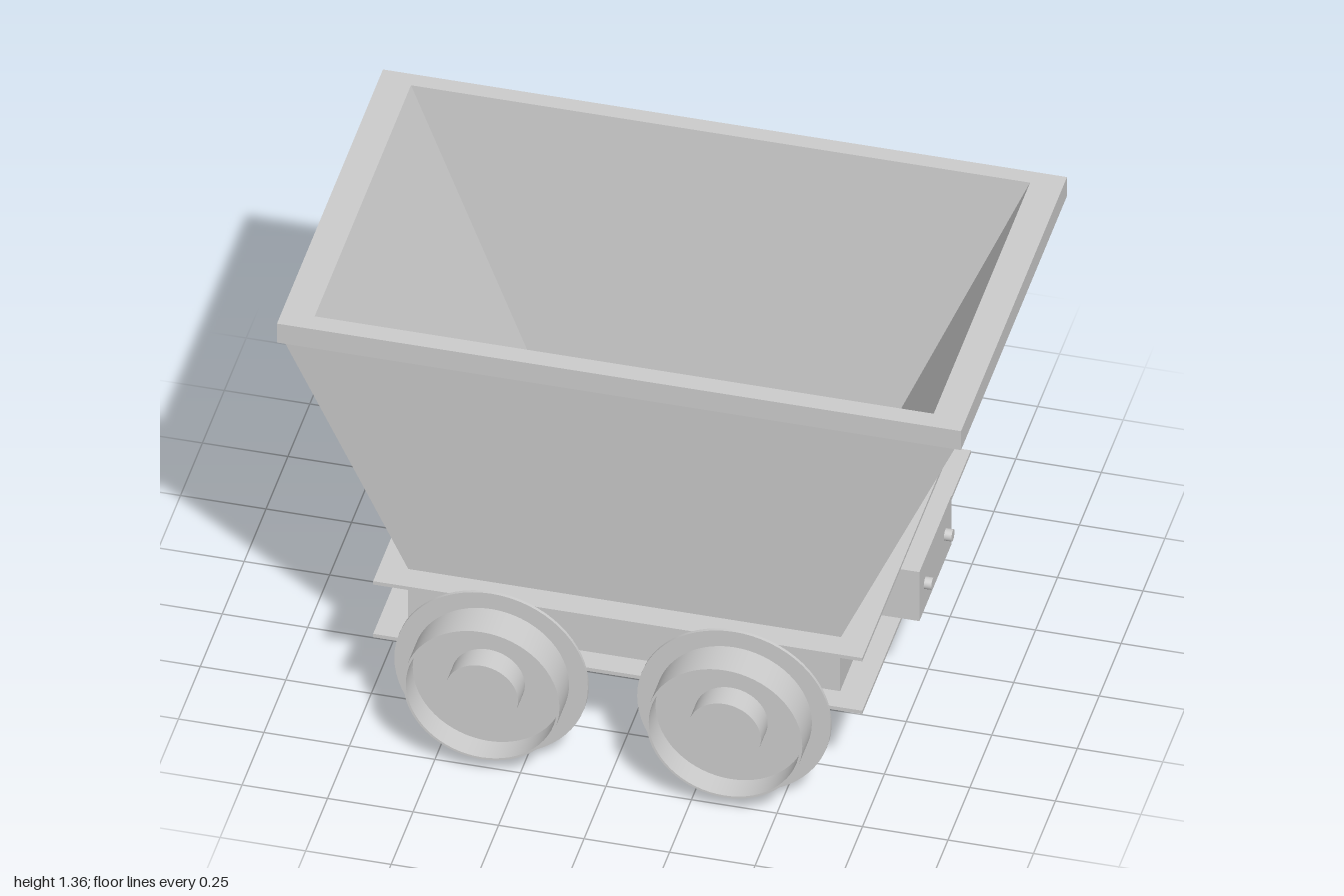
import * as THREE from 'three';

const grey = () => new THREE.MeshStandardMaterial({ color: 0xcccccc });

function add(parent, name, geometry, x = 0, y = 0, z = 0) {
  const mesh = new THREE.Mesh(geometry, grey());
  mesh.name = name;
  mesh.position.set(x, y, z);
  parent.add(mesh);
  return mesh;
}

// Box given by its full width and depth and its lower and upper heights
function slab(parent, name, w, d, y0, y1, x = 0) {
  return add(parent, name, new THREE.BoxGeometry(w, y1 - y0, d), x, (y0 + y1) / 2, 0);
}

// Closed solid through rectangular rings [halfX, y, halfZ, centreZ]
function loftRings(rings) {
  const pos = [];
  const corner = ([hx, y, hz, cz], i) => {
    const [sx, sz] = [[1, 1], [1, -1], [-1, -1], [-1, 1]][i % 4];
    return [sx * hx, y, sz * hz + cz];
  };
  const quad = (a, b, c, d) => pos.push(...a, ...b, ...c, ...a, ...c, ...d);
  for (let r = 0; r < rings.length - 1; r++) {
    for (let i = 0; i < 4; i++) {
      quad(corner(rings[r], i), corner(rings[r], i + 1), corner(rings[r + 1], i + 1), corner(rings[r + 1], i));
    }
  }
  const first = rings[0], last = rings[rings.length - 1];
  quad(...[3, 2, 1, 0].map(i => corner(first, i)));
  quad(...[0, 1, 2, 3].map(i => corner(last, i)));
  const g = new THREE.BufferGeometry();
  g.setAttribute('position', new THREE.Float32BufferAttribute(pos, 3));
  g.computeVertexNormals();
  return g;
}

// Lathe with sharp edges: each profile segment is turned on its own
function turnedWheel(name) {
  const wheel = new THREE.Group();
  wheel.name = name;
  const profile = [[0, 0.665], [0.283, 0.665], [0.283, 0.675], [0.228, 0.675], [0.228, 0.785],
    [0.221, 0.785], [0.221, 0.707], [0.107, 0.707], [0.107, 0.785], [0, 0.785]];
  for (let i = 0; i < profile.length - 1; i++) {
    const pts = [profile[i], profile[i + 1]].map(p => new THREE.Vector2(...p));
    add(wheel, 'wheelSurface', new THREE.LatheGeometry(pts, 64)).rotation.x = Math.PI / 2;
  }
  return wheel;
}

// End block with two bolt holes running along x
function drilledBlock() {
  const s = new THREE.Shape();
  s.moveTo(-0.182, -0.088).lineTo(0.182, -0.088).lineTo(0.182, 0.088).lineTo(-0.182, 0.088).closePath();
  for (const z of [-0.115, 0.115]) {
    s.holes.push(new THREE.Path().absarc(z, 0, 0.018, 0, Math.PI * 2, true));
  }
  const g = new THREE.ExtrudeGeometry(s, { depth: 0.145, bevelEnabled: false, curveSegments: 24 });
  return g.rotateY(-Math.PI / 2);
}

export function createModel() {
  const model = new THREE.Group();
  model.name = 'mineCart';

  // Tapered hopper with its rim, hollow down to the floor
  add(model, 'hopper', loftRings([
    [0.522, 0.247, 0.524, -0.004],
    [0.982, 1.287, 0.594, -0.004],
    [1.0, 1.287, 0.605, -0.004],
    [1.0, 1.355, 0.605, -0.004],
    [0.905, 1.355, 0.55, -0.008],
    [0.538, 0.51, 0.475, -0.008],
  ]));

  // Chassis: web between two flange plates
  const chassis = new THREE.Group();
  chassis.name = 'chassis';
  chassis.position.z = -0.004;
  model.add(chassis);
  slab(chassis, 'web', 1.264, 1.096, 0.305, 0.49);
  slab(chassis, 'upperFlange', 1.43, 1.24, 0.485, 0.497);
  slab(chassis, 'lowerFlange', 1.43, 1.24, 0.296, 0.308);

  // Coupling blocks: bolts at one end, open holes at the other
  slab(chassis, 'couplingBlockLeft', 0.145, 0.364, 0.31, 0.486, 0.6975);
  add(chassis, 'couplingBlockRight', drilledBlock(), -0.63, 0.398, 0);
  for (const z of [-0.115, 0.115]) {
    const bolt = new THREE.CylinderGeometry(0.018, 0.018, 0.05, 24).rotateZ(Math.PI / 2);
    add(chassis, 'bolt', bolt, 0.767, 0.398, z);
  }

  // Axles, each with a flanged wheel at both ends
  for (const x of [-0.355, 0.355]) {
    const set = new THREE.Group();
    set.name = 'wheelSet';
    set.position.set(x, 0.283, 0);
    model.add(set);
    add(set, 'axle', new THREE.CylinderGeometry(0.107, 0.107, 1.34, 48).rotateX(Math.PI / 2));
    const front = turnedWheel('frontWheel');
    const back = turnedWheel('backWheel');
    back.rotation.y = Math.PI;
    set.add(front, back);
  }
  return model;
}
